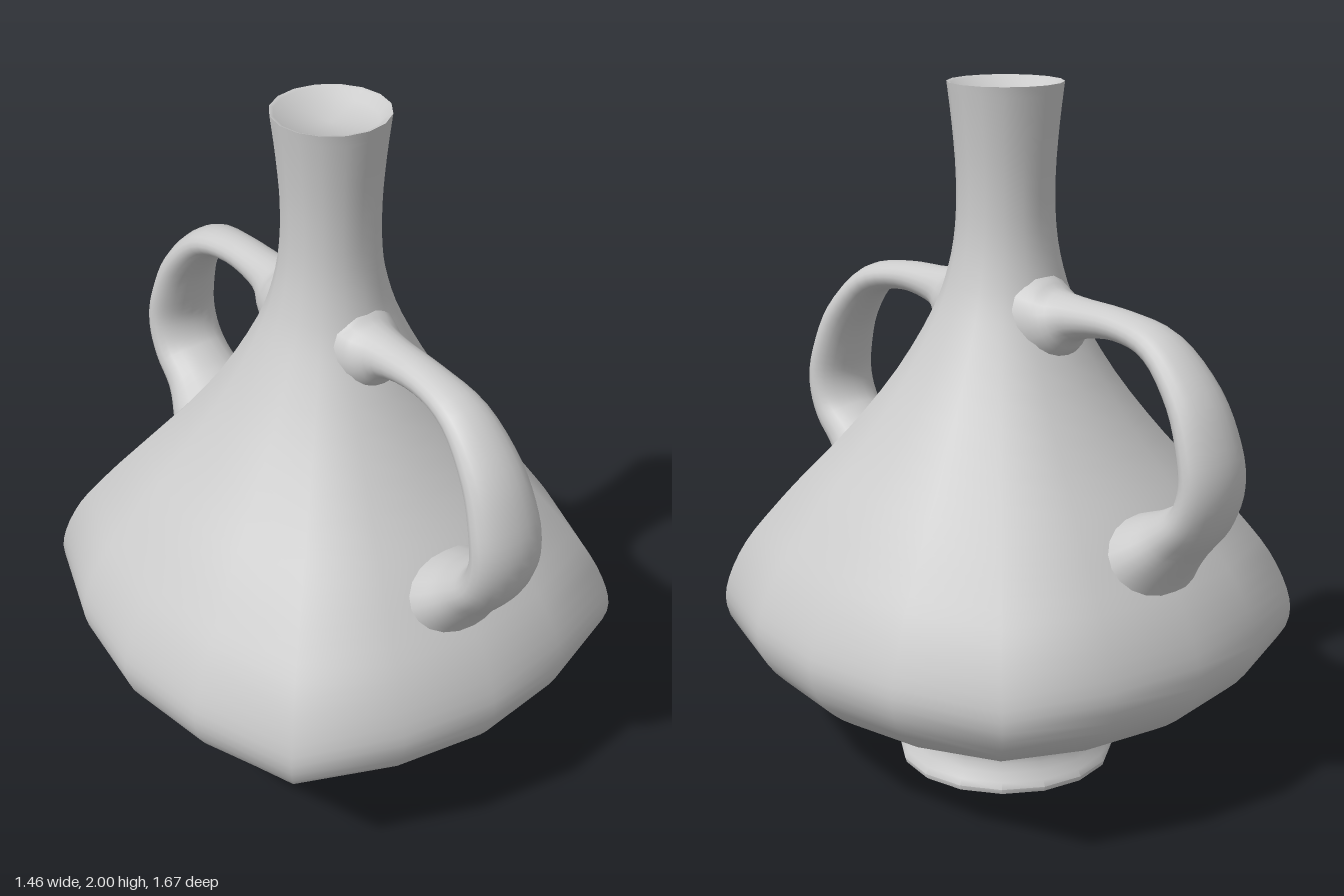
import * as THREE from 'three';
import { toCreasedNormals } from 'three/addons/utils/BufferGeometryUtils.js';

const material = new THREE.MeshStandardMaterial({ color: 0xcccccc, side: THREE.DoubleSide });
const V2 = ([x, y]) => new THREE.Vector2(x, y);

// Turned body: round foot and neck, belly pushed out at the four corners
function makeBody() {
  const side = new THREE.SplineCurve([
    [0.32, 0.015], [0.287, 0.08], [0.305, 0.135], [0.42, 0.18], [0.585, 0.26], [0.685, 0.345],
    [0.727, 0.44], [0.718, 0.53], [0.67, 0.645], [0.6, 0.755], [0.53, 0.855], [0.42, 1.0],
    [0.3, 1.18], [0.205, 1.36], [0.163, 1.48], [0.142, 1.6], [0.139, 1.74], [0.149, 1.88], [0.163, 2.0],
  ].map(V2));
  const profile = [
    V2([0, 0]), V2([0.315, 0]), ...side.getPoints(54),
    V2([0.152, 1.997]), V2([0.13, 1.975]), V2([0, 1.965]), // shallow dished mouth
  ];
  const geometry = new THREE.LatheGeometry(profile, 16);
  const pos = geometry.attributes.position;
  for (let i = 0; i < pos.count; i++) {
    const x = pos.getX(i), y = pos.getY(i), z = pos.getZ(i);
    const square = THREE.MathUtils.smoothstep(y, 0.1, 0.42) * (1 - THREE.MathUtils.smoothstep(y, 0.6, 1.5));
    const corner = 1 + 0.125 * square * Math.abs(Math.sin(2 * Math.atan2(x, z))) ** 5;
    pos.setXYZ(i, x * corner, y, z * corner * (1 + 0.045 * square) + 0.01);
  }
  return new THREE.Mesh(toCreasedNormals(geometry, 0.9), material);
}

// Handle: oval sections swept along a loop, flaring where they meet the body
function makeHandle(sign) {
  // each row: z, y, half width, half thickness
  const rows = [
    [0.12, 1.35, 0.13, 0.15], [0.2, 1.36, 0.1, 0.105], [0.28, 1.382, 0.068, 0.06],
    [0.44, 1.39, 0.06, 0.043], [0.59, 1.355, 0.075, 0.046], [0.705, 1.24, 0.095, 0.055],
    [0.762, 1.11, 0.11, 0.06], [0.774, 1.01, 0.115, 0.063], [0.74, 0.92, 0.117, 0.069],
    [0.665, 0.85, 0.122, 0.085], [0.59, 0.79, 0.155, 0.115], [0.53, 0.74, 0.18, 0.15],
  ];
  const spline = (points) => new THREE.CatmullRomCurve3(points, false, 'catmullrom', 0.5);
  const path = spline(rows.map(([z, y]) => new THREE.Vector3(0, y, z)));
  const size = spline(rows.map(([, , w, t]) => new THREE.Vector3(w, t, 0)));
  const steps = 44, sides = 20, points = [], index = [];
  for (let i = 0; i <= steps; i++) {
    const p = path.getPoint(i / steps), s = size.getPoint(i / steps), d = path.getTangent(i / steps);
    for (let j = 0; j < sides; j++) {
      const a = (j / sides) * Math.PI * 2;
      const out = s.y * Math.sin(a);
      points.push(s.x * Math.cos(a), p.y + d.z * out, sign * (p.z - d.y * out));
      if (i === steps) continue;
      const k = (j + 1) % sides, a0 = i * sides + j, a1 = i * sides + k;
      const b0 = a0 + sides, b1 = a1 + sides;
      if (sign > 0) index.push(a0, b0, a1, a1, b0, b1);
      else index.push(a0, a1, b0, a1, b1, b0);
    }
  }
  const geometry = new THREE.BufferGeometry();
  geometry.setAttribute('position', new THREE.Float32BufferAttribute(points, 3));
  geometry.setIndex(index);
  geometry.computeVertexNormals();
  return new THREE.Mesh(geometry, material);
}

export function createModel() {
  const vase = new THREE.Group();
  vase.name = 'vase';
  const body = makeBody();
  body.name = 'body';
  vase.add(body);
  for (const [name, sign] of [['frontHandle', 1], ['backHandle', -1]]) {
    const handle = makeHandle(sign);
    handle.name = name;
    vase.add(handle);
  }
  return vase;
}
